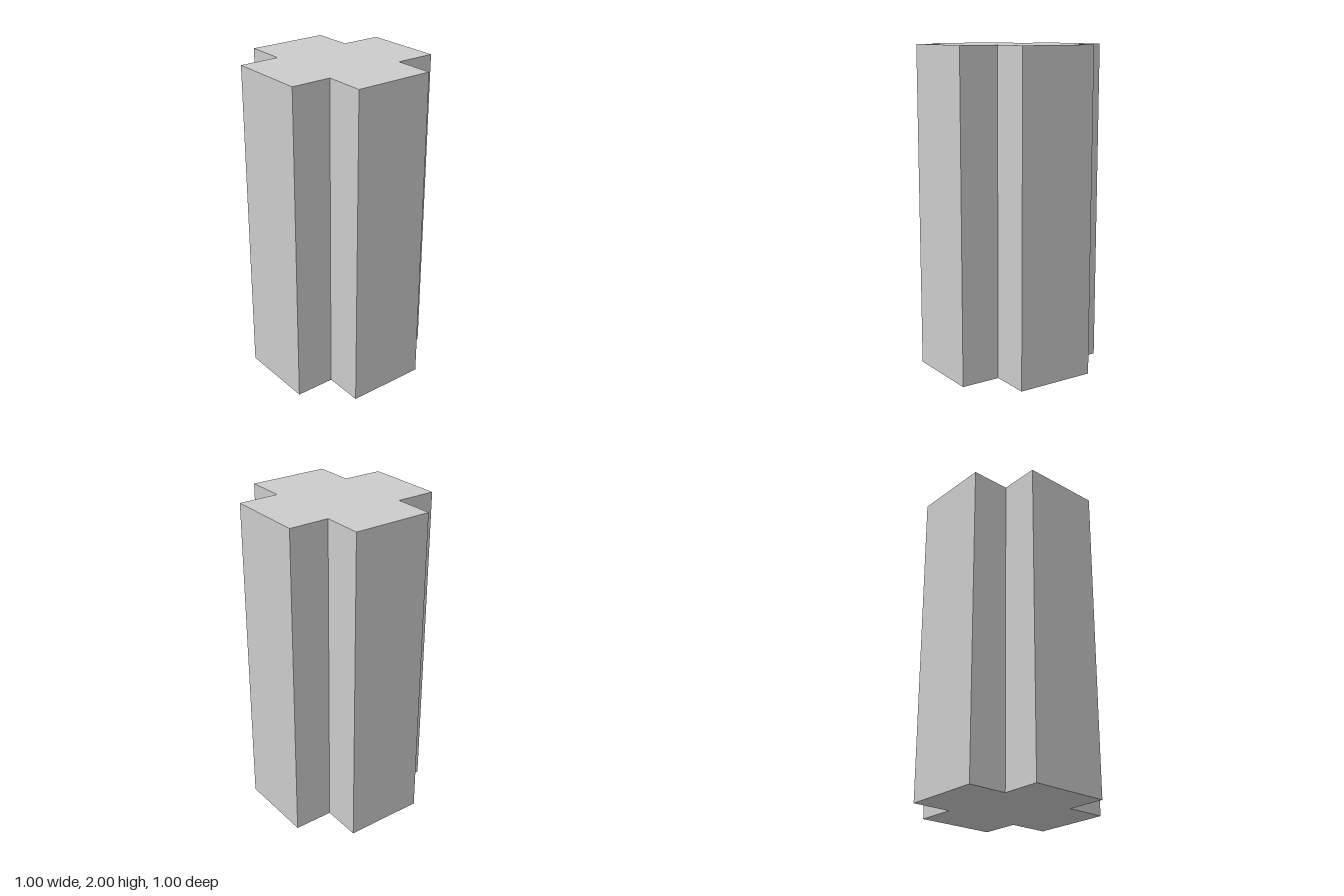
import * as THREE from 'three';

const OUTER = 0.5;   // half span of the cross
const INNER = 0.25;  // half width of each arm
const HEIGHT = 2;

export function createModel() {
  const group = new THREE.Group();
  group.name = 'crossColumn';

  // Plus-shaped outline: three corners per quarter, turned four times
  const corners = [[OUTER, -INNER], [OUTER, INNER], [INNER, INNER]];
  const points = [];
  for (let i = 0; i < 4; i++) {
    for (const [x, y] of corners) {
      points.push(new THREE.Vector2(x, y).rotateAround(new THREE.Vector2(), i * Math.PI / 2));
    }
  }

  // Solid column, extruded and stood upright
  const geometry = new THREE.ExtrudeGeometry(new THREE.Shape(points), { depth: HEIGHT, bevelEnabled: false });
  geometry.rotateX(-Math.PI / 2);

  const column = new THREE.Mesh(
    geometry,
    new THREE.MeshStandardMaterial({ color: 0xcccccc, flatShading: true })
  );
  column.name = 'column';
  group.add(column);
  return group;
}
